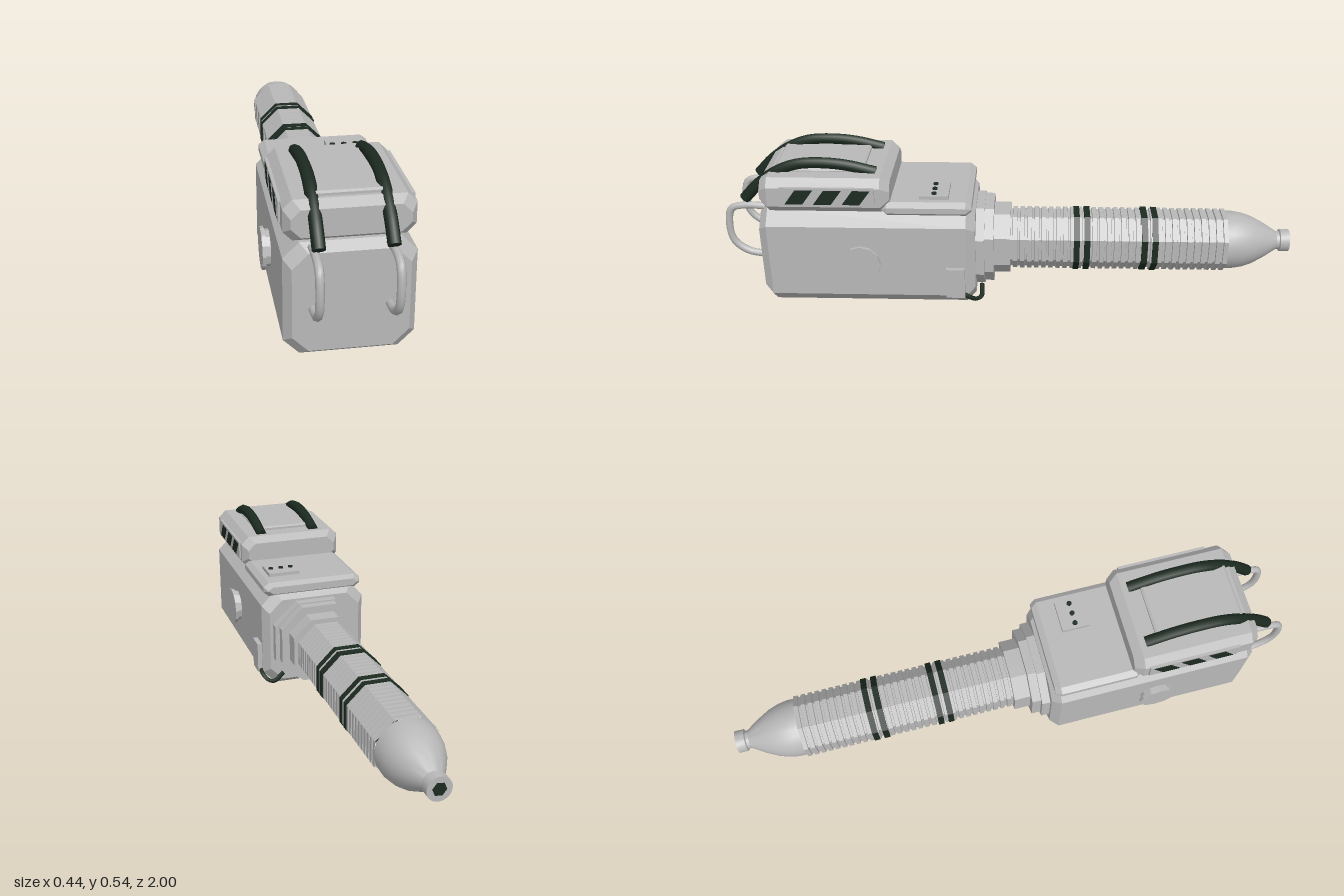
import * as THREE from 'three';
import { toCreasedNormals } from 'three/addons/utils/BufferGeometryUtils.js';

const AXIS_Y = 0.181; // height of the barrel axis

const grey = new THREE.MeshStandardMaterial({ color: 0xb8b8b8 });
grey.name = 'light grey';
const green = new THREE.MeshStandardMaterial({ color: 0x1c2a20 });
green.name = 'dark green';

const flat = (g) => {
  const f = g.index ? g.toNonIndexed() : g;
  f.computeVertexNormals();
  return f;
};

// Octagonal block lofted along z; a section is [z, halfWidth, yMin, yMax, cutX, cutY]
function loft(sections) {
  const pos = [], idx = [], n = 8;
  for (const [z, w, a, b, cx, cy] of sections) {
    const ring = [[w, a + cy], [w, b - cy], [w - cx, b], [cx - w, b],
      [-w, b - cy], [-w, a + cy], [cx - w, a], [w - cx, a]];
    ring.forEach(([x, y]) => pos.push(x, y, z));
  }
  const last = (sections.length - 1) * n;
  for (let s = 0; s < last; s += n) {
    for (let i = 0; i < n; i++) {
      const j = (i + 1) % n;
      idx.push(s + i, s + j, s + n + j, s + i, s + n + j, s + n + i);
    }
  }
  for (let i = 1; i < n - 1; i++) {
    idx.push(0, i + 1, i, last, last + i, last + i + 1);
  }
  const g = new THREE.BufferGeometry();
  g.setAttribute('position', new THREE.Float32BufferAttribute(pos, 3));
  g.setIndex(idx);
  return flat(g);
}

// Block whose two ends are bevelled by the given inset and depth
function bevelBlock(z0, z1, w, y0, y1, cx, cy, inset, depth) {
  const end = (z) => [z, w - inset, y0 + inset, y1 - inset, cx, cy];
  const mid = (z) => [z, w, y0, y1, cx, cy];
  return loft([end(z0), mid(z0 + depth), mid(z1 - depth), end(z1)]);
}

// Turned shape along the barrel; points are [radius, distance towards -z]
function turned(points, sides) {
  const g = new THREE.LatheGeometry(points.map(([r, d]) => new THREE.Vector2(r, d)), sides, Math.PI / 8);
  g.rotateX(-Math.PI / 2);
  g.translate(0, AXIS_Y, 0);
  return g;
}

// Tube with closed ends through [x, y, z] points
function hose(points, radius, sides, steps) {
  const curve = new THREE.CatmullRomCurve3(points.map((p) => new THREE.Vector3(...p)));
  const group = new THREE.Group();
  const parts = [new THREE.TubeGeometry(curve, steps, radius, sides)];
  for (const t of [0, 1]) {
    const cap = new THREE.CircleGeometry(radius, sides);
    const dir = curve.getTangent(t).multiplyScalar(t ? 1 : -1);
    cap.applyQuaternion(new THREE.Quaternion().setFromUnitVectors(new THREE.Vector3(0, 0, 1), dir));
    cap.translate(...curve.getPoint(t).toArray());
    parts.push(cap);
  }
  return { group, parts };
}

export function createModel() {
  const model = new THREE.Group();
  model.name = 'device';
  const add = (name, geometry, material = grey) => {
    const m = new THREE.Mesh(geometry, material);
    m.name = name;
    model.add(m);
    return m;
  };
  const addHose = (name, material, ...args) => {
    const { group, parts } = hose(...args);
    group.name = name;
    parts.forEach((g, i) => {
      const m = new THREE.Mesh(g, material);
      m.name = i ? name + 'End' : name + 'Tube';
      group.add(m);
    });
    model.add(group);
  };
  const box = (w, h, d, x, y, z) => new THREE.BoxGeometry(w, h, d).translate(x, y, z);

  // Main housing
  add('body', bevelBlock(0.12, 0.866, 0.195, 0, 0.362, 0.048, 0.048, 0.023, 0.03));
  add('rearDeck', bevelBlock(0.13, 0.44, 0.185, 0.35, 0.4, 0.02, 0.015, 0.012, 0.02));

  // Upper pack with its lid
  add('upperPack', bevelBlock(0.408, 0.852, 0.192, 0.362, 0.487, 0.028, 0.028, 0.02, 0.03));
  add('packLid', bevelBlock(0.5, 0.81, 0.115, 0.47, 0.5, 0.013, 0.01, 0.005, 0.008));

  // Button panel on the rear deck
  add('buttonPanel', box(0.115, 0.02, 0.1, 0.088, 0.403, 0.26));
  for (const x of [0.05, 0.088, 0.126]) {
    add('button', flat(new THREE.CylinderGeometry(0.009, 0.009, 0.006, 8).translate(x, 0.415, 0.26)), green);
  }

  // Stepped collar behind the housing
  const collar = (z0, z1, w, h) =>
    loft([z0, z1].map((z) => [z, w, AXIS_Y - h, AXIS_Y + h, w * 0.55, h * 0.55]));
  add('collarLarge', collar(0.09, 0.13, 0.16, 0.15));
  add('collarMiddle', collar(0.058, 0.095, 0.144, 0.145));
  add('collarSmall', collar(0, 0.062, 0.116, 0.117));

  // Ribbed barrel
  const ribs = [];
  const pitch = 0.77 / 30;
  for (let i = 0; i < 30; i++) {
    const d = i * pitch;
    ribs.push([0.105, d], [0.105, d + pitch * 0.3], [0.112, d + pitch * 0.35], [0.112, d + pitch * 0.95]);
  }
  add('barrel', flat(turned(ribs, 8)));
  for (const d of [0.225, 0.262, 0.465, 0.502]) {
    add('barrelBand', flat(turned([[0.1, d], [0.115, d], [0.115, d + 0.021], [0.1, d + 0.021]], 8)), green);
  }

  // Tapered nozzle and dark bore
  const nozzle = [[0, 0.765], [0.104, 0.765], [0.104, 0.795], [0.098, 0.83], [0.086, 0.865], [0.062, 0.91],
    [0.033, 0.955], [0.033, 0.965], [0.04, 0.968], [0.04, 1], [0, 1]];
  add('nozzle', toCreasedNormals(turned(nozzle, 24), 0.5));
  add('bore', flat(turned([[0.023, 0.995], [0.023, 1.001], [0, 1.001]], 6)), green);

  for (const s of [1, -1]) {
    // Two-layer side knob
    const disc = (r, x0, x1) => flat(new THREE.CylinderGeometry(r, r, x1 - x0, 12)
      .rotateZ(Math.PI / 2).translate(s * (x0 + x1) / 2, 0.182, 0.513));
    add('knobBase', disc(0.06, 0.19, 0.211));
    add('knobCap', disc(0.069, 0.21, 0.222));

    // Vent plate with slanted slots
    add('ventPlate', box(0.012, 0.066, 0.32, s * 0.192, 0.43, 0.615));
    for (let i = 0; i < 3; i++) {
      const z = 0.76 - i * 0.097;
      const slot = new THREE.Shape([[-z, 0.403], [0.06 - z, 0.403], [0.098 - z, 0.455], [0.038 - z, 0.455]]
        .map(([a, b]) => new THREE.Vector2(a, b)));
      const g = new THREE.ExtrudeGeometry(slot, { depth: 0.004, bevelEnabled: false });
      g.translate(0, 0, -0.002).rotateY(Math.PI / 2).translate(s * 0.198, 0, 0);
      add('ventSlot', g, green);
    }

    // Hose over the pack
    const x = s * 0.105;
    addHose('packHose', green, [[x, 0.378, 0.922], [x, 0.437, 0.865], [x, 0.483, 0.8], [x, 0.51, 0.73],
      [x, 0.516, 0.65], [x, 0.508, 0.56], [x, 0.484, 0.46]], 0.02, 8, 24);

    // Front handle
    const h = s * 0.112;
    addHose('frontHandle', grey, [[h, 0.352, 0.85], [h, 0.355, 0.92], [h, 0.342, 0.97], [h, 0.28, 0.986],
      [h, 0.215, 0.976], [h, 0.175, 0.93], [h, 0.16, 0.85]], 0.013, 8, 28);
  }

  // Side junction box and its cable, on the left only
  add('junctionBox', box(0.03, 0.112, 0.066, 0.197, 0.105, 0.188));
  addHose('cable', green, [[0.2, 0.06, 0.165], [0.198, 0.045, 0.14], [0.185, 0.03, 0.118],
    [0.165, 0.03, 0.1], [0.13, 0.06, 0.1]], 0.008, 6, 16);

  return model;
}
